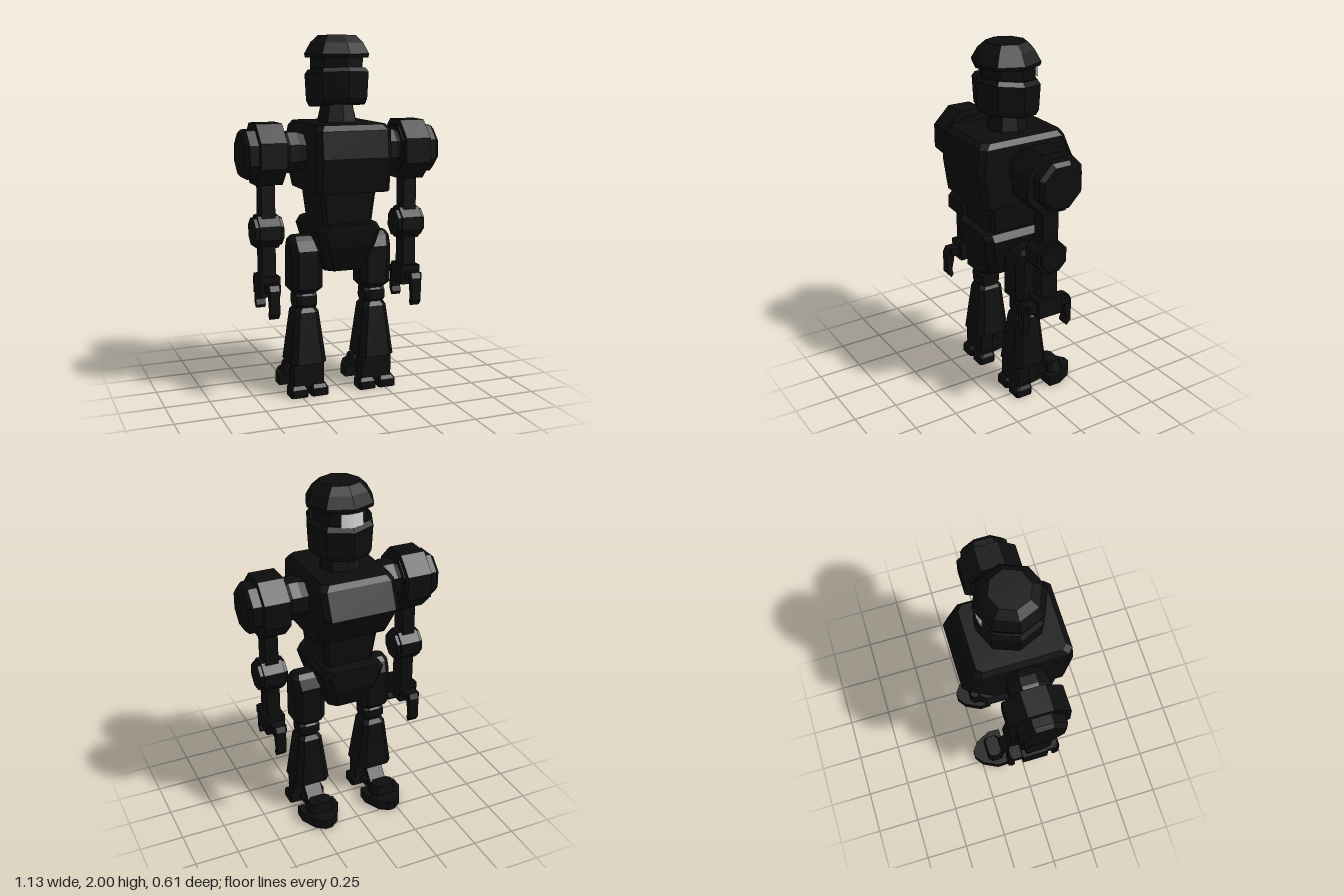
import * as THREE from 'three';

const black = new THREE.MeshStandardMaterial({ color: 0x0d0d0d, flatShading: true });
black.name = 'black armour';
const white = new THREE.MeshStandardMaterial({ color: 0xd0d0d0, flatShading: true, side: THREE.DoubleSide });
white.name = 'visor white';

// Stack of chamfered rectangles, bottom to top: [y, halfWidth, zBack, zFront, chamfer]
function loft(rings) {
  const loops = rings.map(([y, w, a, b, c]) => [
    [-(w - c), y, b], [w - c, y, b], [w, y, b - c], [w, y, a + c],
    [w - c, y, a], [-(w - c), y, a], [-w, y, a + c], [-w, y, b - c]]);
  const pos = [];
  const tri = (...pts) => pts.forEach((p) => pos.push(...p));
  const cap = ([y, , a, b]) => [0, y, (a + b) / 2];
  const last = loops.length - 1;
  for (let i = 0; i < 8; i++) {
    const j = (i + 1) % 8;
    for (let k = 0; k < last; k++) {
      const lo = loops[k], hi = loops[k + 1];
      tri(lo[i], lo[j], hi[j]);
      tri(lo[i], hi[j], hi[i]);
    }
    tri(cap(rings[0]), loops[0][j], loops[0][i]);
    tri(cap(rings[last]), loops[last][i], loops[last][j]);
  }
  const g = new THREE.BufferGeometry();
  g.setAttribute('position', new THREE.Float32BufferAttribute(pos, 3));
  g.computeVertexNormals();
  return g;
}

function add(parent, name, geometry, x = 0, y = 0, z = 0, material = black) {
  const m = new THREE.Mesh(geometry, material);
  m.name = name;
  m.position.set(x, y, z);
  parent.add(m);
  return m;
}

const box = (w, h, d) => new THREE.BoxGeometry(w, h, d);

// Eight-sided turned shape from [radius, height] points
const turned = (pts) => new THREE.LatheGeometry(pts.map(([r, y]) => new THREE.Vector2(r, y)), 8);

// Eight-sided turned shape lying along x, flats on top; radii measured to the flats
const axle = (pts) => turned(pts.map(([r, x]) => [r / Math.cos(Math.PI / 8), x]))
  .rotateY(Math.PI / 8).rotateZ(-Math.PI / 2);

function buildHead(root) {
  const head = new THREE.Group();
  head.name = 'head';
  root.add(head);
  add(head, 'helmet', turned([[0, 1.88], [0.185, 1.88], [0.19, 1.9], [0.155, 1.96], [0.11, 2], [0, 2]]), 0, 0, 0.01);
  add(head, 'face', turned([[0, 1.7], [0.155, 1.7], [0.155, 1.9], [0, 1.9]]), 0, 0, 0.005);
  const jaw = turned([[0, 1.62], [0.165, 1.62], [0.18, 1.65], [0.188, 1.79], [0.17, 1.815], [0, 1.815]]);
  // Jaw tips down towards the visor
  const p = jaw.attributes.position;
  for (let i = 0; i < p.count; i++) p.setY(i, p.getY(i) + p.getZ(i) * 0.1);
  add(head, 'jaw', jaw, 0, 0, 0.01);
  const visor = new THREE.CylinderGeometry(0.16, 0.165, 0.075, 4, 1, true, Math.PI - 0.4, 0.8);
  add(head, 'visor', visor, 0, 1.835, 0.002, white);
  add(head, 'neck', turned([[0, 1.5], [0.122, 1.5], [0.115, 1.54], [0.085, 1.66], [0, 1.66]]), 0, 0, 0.005);
}

function buildBody(root) {
  add(root, 'chest', loft([
    [1.165, 0.215, -0.17, 0.275, 0.03], [1.355, 0.215, -0.305, 0.303, 0.03],
    [1.5, 0.215, -0.24, 0.29, 0.03], [1.53, 0.195, -0.22, 0.26, 0.03]]));
  add(root, 'abdomen', loft([[0.96, 0.14, -0.125, 0.185, 0.02], [1.18, 0.162, -0.155, 0.205, 0.02]]));
  add(root, 'pelvis', loft([
    [0.72, 0.115, -0.125, 0.165, 0.04], [0.865, 0.16, -0.205, 0.225, 0.04],
    [0.95, 0.185, -0.21, 0.238, 0.04], [0.988, 0.16, -0.21, 0.24, 0.04]]));
}

function buildArm(side) {
  const arm = new THREE.Group();
  arm.name = side > 0 ? 'leftArm' : 'rightArm';
  arm.position.set(side * 0.42, 0, 0.025);
  // Axle profiles run outwards, so the right arm is turned half round
  const turn = (m) => { if (side < 0) m.rotation.y = Math.PI; };
  turn(add(arm, 'shoulderJoint', axle([[0, -0.23], [0.09, -0.23], [0.11, -0.16], [0.11, -0.11], [0.09, -0.06], [0, -0.06]]), 0, 1.375));
  turn(add(arm, 'shoulderDrum', axle([[0, -0.08], [0.13, -0.08], [0.13, 0.12], [0.11, 0.143], [0, 0.143]]), 0, 1.37));
  turn(add(arm, 'shoulderGuard', axle([[0, -0.075], [0.165, -0.075], [0.165, 0.07], [0, 0.07]]), 0, 1.37));
  add(arm, 'upperArm', box(0.076, 0.35, 0.1), 0, 1.08);
  add(arm, 'elbowDisc', axle([[0, -0.08], [0.075, -0.08], [0.075, 0.08], [0, 0.08]]), 0, 0.945);
  add(arm, 'elbowRim', axle([[0, -0.06], [0.09, -0.06], [0.09, 0.06], [0, 0.06]]), 0, 0.945);
  add(arm, 'forearm', box(0.076, 0.22, 0.1), 0, 0.77);
  add(arm, 'wrist', box(0.11, 0.11, 0.15), 0, 0.645);
  // Two hooked fingers on a cross bar
  add(arm, 'handBar', box(0.08, 0.045, 0.27), 0, 0.645);
  for (const f of [1, -1]) {
    const s = new THREE.Shape([[0.12, 0.67], [0.14, 0.67], [0.155, 0.64], [0.155, 0.51], [0.13, 0.48], [0.115, 0.5], [0.125, 0.53], [0.11, 0.6]]
      .map(([z, y]) => new THREE.Vector2(z * f, y)));
    const g = new THREE.ExtrudeGeometry(s, { depth: 0.055, bevelEnabled: false }).translate(0, 0, -0.0275).rotateY(-Math.PI / 2);
    add(arm, 'finger', g);
  }
  return arm;
}

function buildLeg(side) {
  const leg = new THREE.Group();
  leg.name = side > 0 ? 'leftLeg' : 'rightLeg';
  leg.position.set(side * 0.205, 0, 0.025);
  add(leg, 'thigh', loft([
    [0.585, 0.065, -0.06, 0.06, 0.03], [0.615, 0.092, -0.087, 0.09, 0.035],
    [0.83, 0.092, -0.087, 0.09, 0.035], [0.885, 0.092, -0.06, 0.063, 0.03], [0.91, 0.075, -0.035, 0.035, 0.02]]));
  add(leg, 'knee', axle([[0, -0.06], [0.055, -0.06], [0.068, -0.03], [0.068, 0.03], [0.055, 0.06], [0, 0.06]]), 0, 0.545);
  add(leg, 'shin', loft([
    [0.19, 0.107, -0.105, 0.107, 0.035], [0.48, 0.07, -0.078, 0.075, 0.025], [0.505, 0.055, -0.06, 0.06, 0.025]]));

  // Heel post on two blocks
  add(leg, 'heelPost', box(0.176, 0.16, 0.08), 0, 0.125, 0.046);
  for (const s of [1, -1]) add(leg, 'heelBlock', loft([
    [0, 0.05, 0.005, 0.107, 0.01], [0.045, 0.05, 0.005, 0.107, 0.01], [0.065, 0.04, 0.01, 0.085, 0.01]]), s * 0.06);
  // Ankle strut and link to the toe
  add(leg, 'strut', box(0.1, 0.19, 0.045), 0, 0.125, -0.075).rotation.x = 0.72;
  add(leg, 'link', box(0.1, 0.03, 0.17), 0, 0.045, -0.05).rotation.x = 0.15;

  // Pointed toe plate with a raised block
  const outline = [[-0.112, 0.115], [-0.115, 0.185], [-0.07, 0.275], [-0.02, 0.312], [0.02, 0.312], [0.07, 0.275], [0.115, 0.185], [0.112, 0.115]];
  const shape = new THREE.Shape(outline.map(([x, z]) => new THREE.Vector2(x, z)));
  const toe = new THREE.ExtrudeGeometry(shape, { depth: 0.06, bevelEnabled: false }).rotateX(-Math.PI / 2);
  add(leg, 'toe', toe, 0, 0.008, 0);
  add(leg, 'toeBlock', loft([[0.05, 0.085, -0.235, -0.13, 0.02], [0.128, 0.065, -0.225, -0.145, 0.02]]));
  return leg;
}

export function createModel() {
  const root = new THREE.Group();
  root.name = 'robot';
  buildHead(root);
  buildBody(root);
  for (const side of [1, -1]) root.add(buildArm(side), buildLeg(side));
  return root;
}
